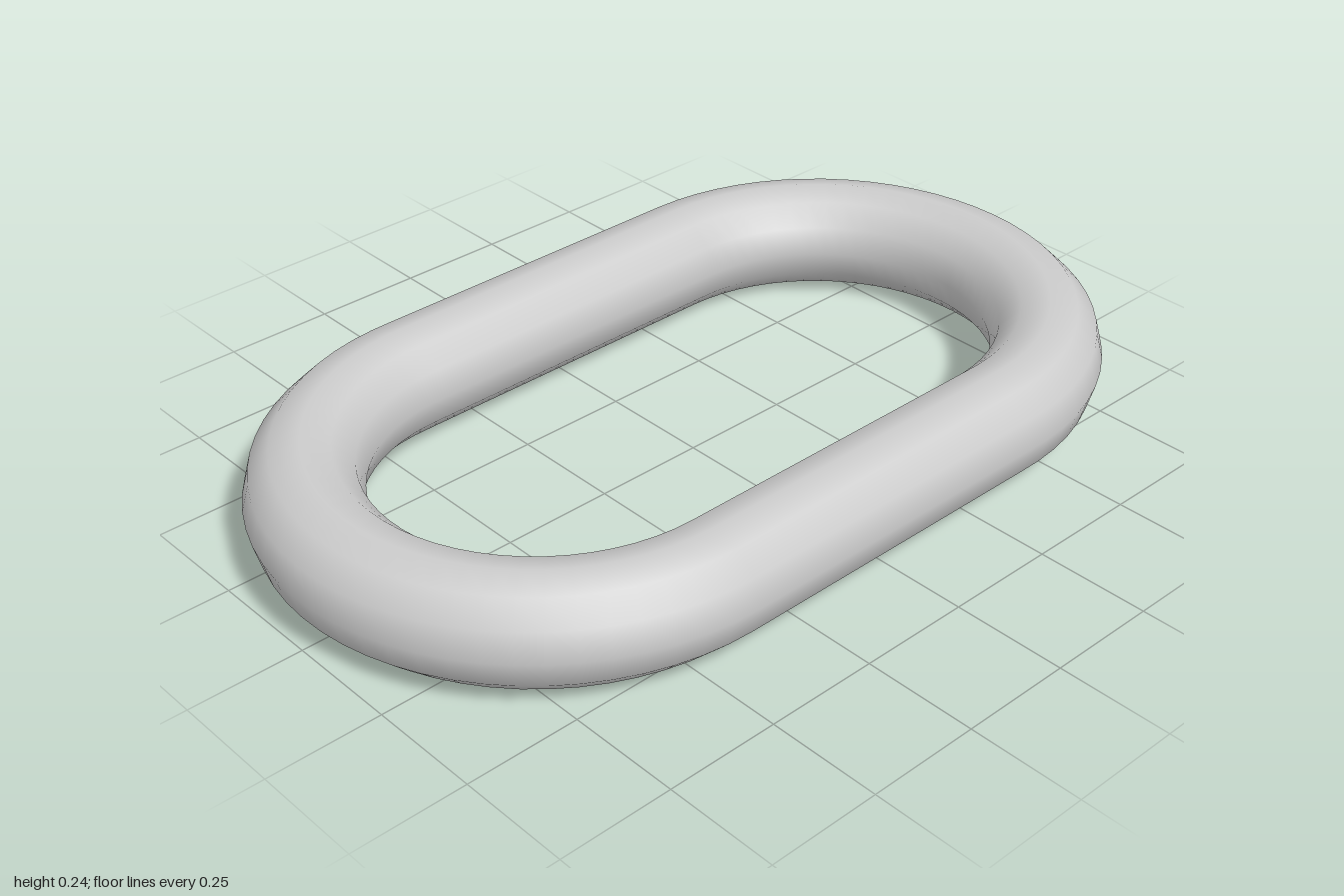
import * as THREE from 'three';

const WIRE = 0.1215;   // radius of the bar
const BEND = 0.483;    // centreline radius of the round ends
const HALF = 0.3955;   // half length of the straight sides

// Stadium-shaped centreline: two half circles joined by two straight sides
class LinkCurve extends THREE.Curve {
  getPoint(t, target = new THREE.Vector3()) {
    const arc = Math.PI * BEND, side = 2 * HALF;
    let d = (((t % 1) + 1) % 1) * 2 * (arc + side);
    // the second half is the first one turned by 180 degrees
    const sign = d < arc + side ? 1 : -1;
    if (sign < 0) d -= arc + side;
    if (d < arc) {
      const a = d / BEND;
      target.set(BEND * Math.cos(a), 0, HALF + BEND * Math.sin(a));
    } else {
      target.set(-BEND, 0, HALF - (d - arc));
    }
    target.x *= sign;
    target.z *= sign;
    return target;
  }
}

export function createModel() {
  const group = new THREE.Group();
  group.name = 'chainLink';

  // Closed round bar, twelve-sided in section with smooth normals
  const link = new THREE.Mesh(
    new THREE.TubeGeometry(new LinkCurve(), 96, WIRE, 12, true),
    new THREE.MeshStandardMaterial({ color: 0xcccccc })
  );
  link.name = 'linkBar';
  link.position.y = WIRE;
  group.add(link);

  return group;
}
